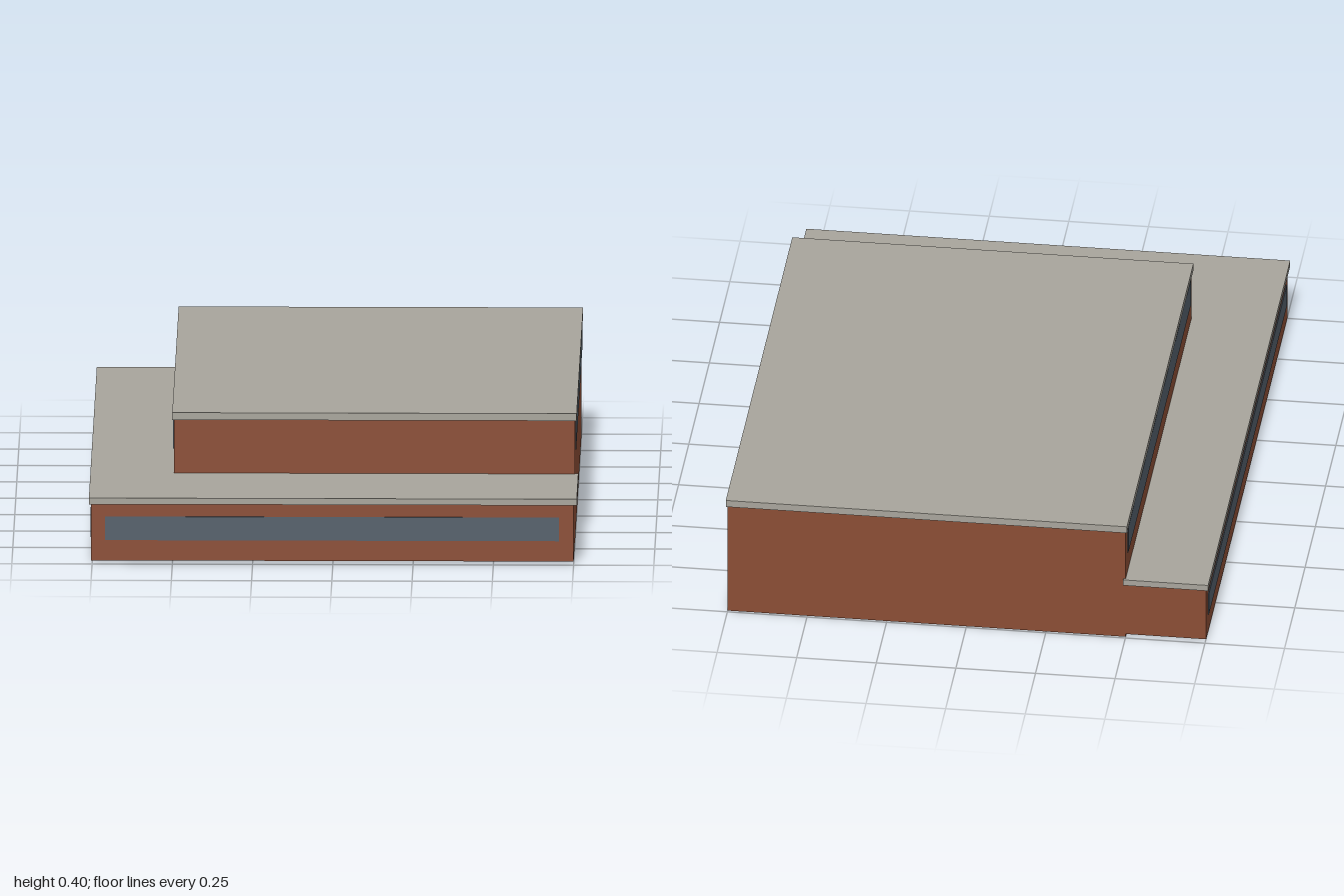
import * as THREE from 'three';

const brick = new THREE.MeshStandardMaterial({ color: 0x8b4d35, side: THREE.DoubleSide });
brick.name = 'brick';
const concrete = new THREE.MeshStandardMaterial({ color: 0xa8a59c });
concrete.name = 'concrete';
const glass = new THREE.MeshStandardMaterial({ color: 0x55606b });
glass.name = 'glass';

// Thin open walls following a plan line of [x, z] points
function walls(name, plan, y0, y1) {
  const pos = [];
  for (let i = 0; i < plan.length - 1; i++) {
    const [ax, az] = plan[i], [bx, bz] = plan[i + 1];
    pos.push(ax, y0, az, bx, y0, bz, bx, y1, bz, ax, y0, az, bx, y1, bz, ax, y1, az);
  }
  const geo = new THREE.BufferGeometry();
  geo.setAttribute('position', new THREE.Float32BufferAttribute(pos, 3));
  geo.computeVertexNormals();
  const mesh = new THREE.Mesh(geo, brick);
  mesh.name = name;
  return mesh;
}

// Flat roof slab with a plan outline of [x, z] points
function slab(name, plan, y0, y1) {
  const shape = new THREE.Shape(plan.map(([x, z]) => new THREE.Vector2(x, -z)));
  const geo = new THREE.ExtrudeGeometry(shape, { depth: y1 - y0, bevelEnabled: false });
  geo.rotateX(-Math.PI / 2).translate(0, y0, 0);
  const mesh = new THREE.Mesh(geo, concrete);
  mesh.name = name;
  return mesh;
}

// Ribbon window plate between two corners
function ribbon(name, [x0, y0, z0], [x1, y1, z1]) {
  const mesh = new THREE.Mesh(new THREE.BoxGeometry(x1 - x0, y1 - y0, z1 - z0), glass);
  mesh.position.set((x0 + x1) / 2, (y0 + y1) / 2, (z0 + z1) / 2);
  mesh.name = name;
  return mesh;
}

export function createModel() {
  const model = new THREE.Group();
  model.name = 'building';

  // Tall block, open underneath
  model.add(
    walls('mainWalls', [[-0.5, 0.615], [0.75, 0.615], [0.75, -0.992], [-0.5, -0.992], [-0.5, 0.615]], 0, 0.385),
    slab('mainRoof', [[-0.505, 0.62], [0.755, 0.62], [0.755, -1], [-0.505, -1]], 0.38, 0.403),
  );

  // Low L-shaped wing around the front and one side
  model.add(
    walls('wingWalls', [[-0.5, -0.992], [-0.753, -0.992], [-0.753, 0.992], [0.75, 0.992], [0.75, 0.615]], 0.01, 0.195),
    slab('wingRoof', [[-0.76, 1], [0.76, 1], [0.76, 0.607], [-0.493, 0.607], [-0.493, -1], [-0.76, -1]], 0.19, 0.21),
  );

  // Ribbon windows
  const t = 0.003;
  model.add(
    ribbon('wingFrontWindow', [-0.71, 0.075, 0.99], [0.705, 0.15, 0.992 + t]),
    ribbon('wingSideWindow', [-0.753 - t, 0.075, -0.95], [-0.751, 0.15, 0.95]),
    ribbon('mainLeftWindow', [0.75, 0.28, -0.95], [0.75 + t, 0.37, 0.575]),
    ribbon('mainRightWindow', [-0.5 - t, 0.28, -0.95], [-0.5, 0.37, 0.575]),
  );
  return model;
}
